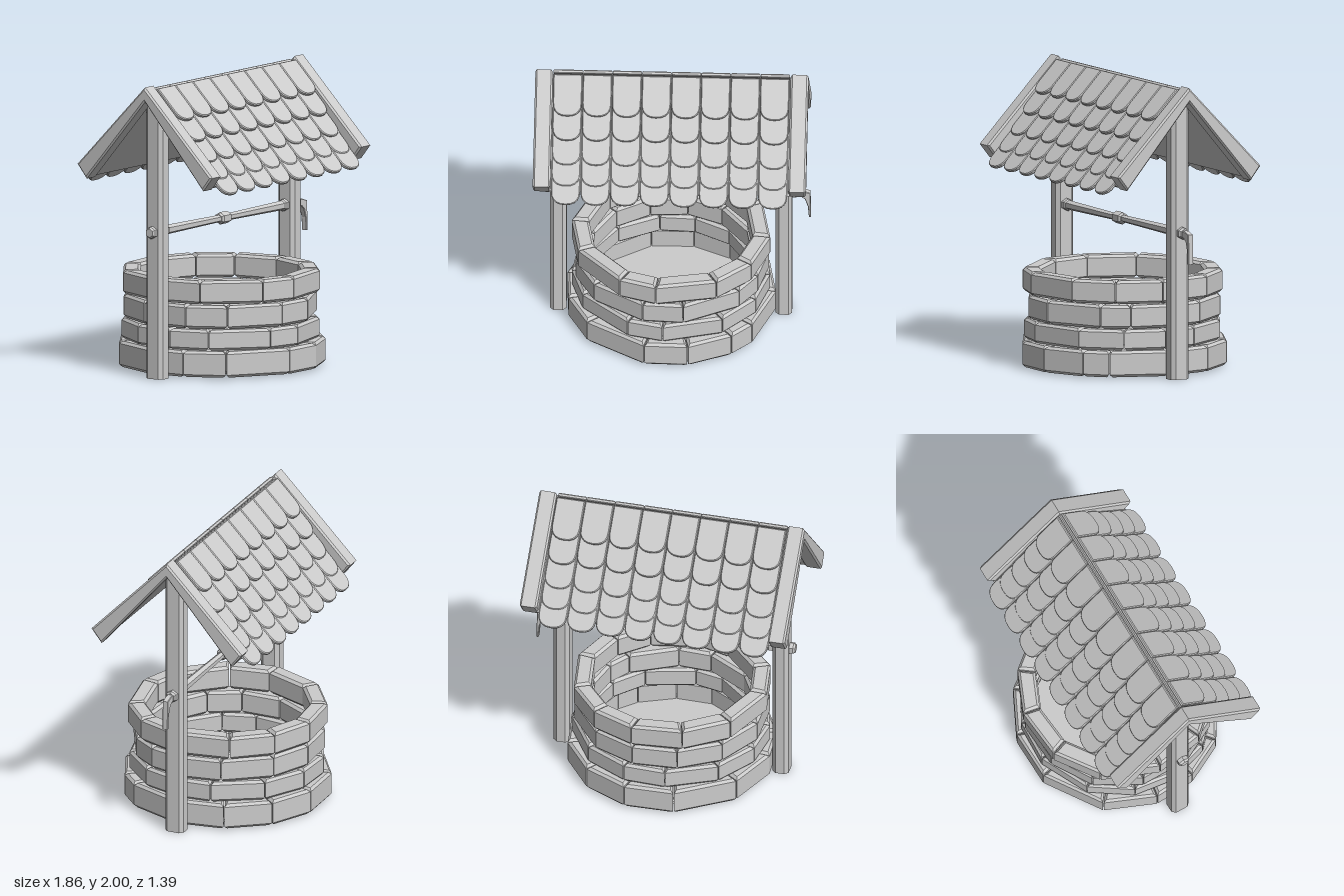
import * as THREE from 'three';

const stone = new THREE.MeshStandardMaterial({ color: 0xcccccc });
stone.name = 'light grey';

const RIDGE_Z = 0.026; // the roof, posts and axle share this centre plane

function faceted(geometry) {
  const g = geometry.index ? geometry.toNonIndexed() : geometry;
  g.computeVertexNormals();
  return g;
}

function addMesh(parent, name, geometry) {
  const mesh = new THREE.Mesh(faceted(geometry), stone);
  mesh.name = name;
  parent.add(mesh);
  return mesh;
}

// Extruded outline with chamfered edges that stay inside the given size
function slab(points, depth, bevel) {
  const shape = new THREE.Shape(points.map(([x, y]) => new THREE.Vector2(x, y)));
  const g = new THREE.ExtrudeGeometry(shape, {
    depth: depth - 2 * bevel, bevelEnabled: bevel > 0, bevelThickness: bevel,
    bevelSize: bevel, bevelOffset: -bevel, bevelSegments: 1, curveSegments: 1,
  });
  return g.translate(0, 0, bevel);
}

// Stone courses: bottom, top, outer radius, joint angles in degrees from the front
const COURSES = [
  [0.012, 0.19, 0.71, [-51, -13, 11, 37, 52, 85, 113, 140, 167, 195, 232, 262, 285]],
  [0.188, 0.33, 0.67, [-61, -24, -3, 33, 60, 85, 105, 137, 165, 190, 222, 250, 275]],
  [0.335, 0.495, 0.66, [-50, -15, 9, 46, 64, 88, 111, 143, 170, 197, 225, 255, 285]],
  [0.505, 0.665, 0.675, [-66, -29, -7, 29, 55, 83, 116, 143, 170, 200, 230, 265]],
];

function buildWall() {
  const wall = new THREE.Group();
  wall.name = 'stoneWall';
  wall.position.x = -0.015;
  COURSES.forEach(([y0, y1, radius, joints]) => {
    joints.forEach((start, i) => {
      const end = i + 1 < joints.length ? joints[i + 1] : joints[0] + 360;
      const a = THREE.MathUtils.degToRad(start + 0.3);
      const b = THREE.MathUtils.degToRad(end - 0.3);
      const at = (r, t) => [r * Math.sin(t), -r * Math.cos(t)];
      const inner = radius - 0.12;
      const g = slab([at(radius, a), at(radius, b), at(inner, b), at(inner, a)], y1 - y0, 0.018);
      addMesh(wall, 'stoneBlock', g.rotateX(-Math.PI / 2).translate(0, y0, 0));
    });
  });
  addMesh(wall, 'wellFloor', new THREE.CylinderGeometry(0.62, 0.62, 0.02, 24).translate(0, 0.035, 0));
  return wall;
}

function buildPost(x) {
  const w = 0.055, d = 0.068, c = 0.024;
  const outline = [
    [-w, -d + c], [-w + c, -d], [w - c, -d], [w, -d + c],
    [w, d - c], [w - c, d], [-w + c, d], [-w, d - c],
  ];
  const post = new THREE.Group();
  post.name = 'post';
  addMesh(post, 'postBeam', slab(outline, 1.86, 0).rotateX(-Math.PI / 2));
  post.position.set(x, 0, RIDGE_Z);
  return post;
}

// Inverted-V profile along x, from half outlines given as [distance from ridge, height]
function chevron(top, bottom, ridgeTop, ridgeBottom, x0, x1, bevel) {
  const outline = [
    [0, ridgeTop], top, bottom, [0, ridgeBottom],
    [-bottom[0], bottom[1]], [-top[0], top[1]],
  ];
  const g = slab(outline, x1 - x0, bevel);
  return g.rotateY(Math.PI / 2).translate(x0, 0, RIDGE_Z);
}

function shingleGeometry(width, length, thickness) {
  const half = width / 2, drop = 0.09, outline = [[half, length], [-half, length]];
  for (let i = 0; i <= 10; i++) {
    const t = Math.PI * (1 + i / 10);
    const c = Math.cos(t), s = Math.sin(t);
    outline.push([
      half * Math.sign(c) * Math.pow(Math.abs(c), 0.85),
      drop - drop * Math.pow(Math.abs(s), 0.85),
    ]);
  }
  return slab(outline, thickness, 0.006).translate(0, 0, -thickness);
}

function buildRoof() {
  const roof = new THREE.Group();
  roof.name = 'roof';
  [[-0.93, -0.812], [0.792, 0.912]].forEach(([x0, x1]) => {
    addMesh(roof, 'rafter', chevron([0.56, 1.43], [0.484, 1.335], 2, 1.9, x0, x1, 0.012));
  });
  addMesh(roof, 'roofPanel', chevron([0.515, 1.362], [0.49, 1.345], 1.965, 1.905, -0.82, 0.8, 0));

  // Overlapping scalloped shingles: lower tip of each row as [distance, height]
  const rows = [[0.225, 1.78], [0.32, 1.645], [0.415, 1.51], [0.505, 1.4], [0.588, 1.305]];
  const tilt = THREE.MathUtils.degToRad(45.5);
  const pitch = 0.1995;
  const shingle = faceted(shingleGeometry(pitch - 0.003, 0.285, 0.026));
  [0, Math.PI].forEach((turn) => {
    const side = new THREE.Group();
    side.name = turn ? 'backShingles' : 'frontShingles';
    side.position.set(-0.011, 0, RIDGE_Z);
    side.rotation.y = turn;
    rows.forEach(([d, y]) => {
      for (let i = 0; i < 8; i++) {
        const mesh = new THREE.Mesh(shingle, stone);
        mesh.name = 'shingle';
        mesh.position.set((i - 3.5) * pitch, y, d);
        mesh.rotation.x = tilt - Math.PI / 2;
        side.add(mesh);
      }
    });
    roof.add(side);
  });
  return roof;
}

// Six-sided turned piece along x, profile given as [x, radius]
function turned(profile) {
  const pts = profile.map(([x, r]) => new THREE.Vector2(r, x));
  return new THREE.LatheGeometry(pts, 6, Math.PI / 6)
    .rotateZ(-Math.PI / 2).translate(0, 1, RIDGE_Z);
}

function buildWinch() {
  const winch = new THREE.Group();
  winch.name = 'winch';
  addMesh(winch, 'axle', turned([
    [-0.85, 0], [-0.85, 0.034], [-0.68, 0.033], [-0.015, 0.024], [0.65, 0.033], [0.82, 0.034], [0.82, 0],
  ]));
  [[-0.87, -0.815], [-0.735, -0.675], [-0.07, 0.04], [0.65, 0.71], [0.79, 0.842]].forEach(([a, b]) => {
    addMesh(winch, 'collar', turned([
      [a, 0], [a, 0.03], [a + 0.014, 0.042], [b - 0.014, 0.042], [b, 0.03], [b, 0],
    ]));
  });
  const crank = [
    [0.82, 1.02], [0.87, 1.02], [0.925, 1.003], [0.929, 0.8], [0.915, 0.8],
    [0.908, 0.89], [0.888, 0.95], [0.86, 0.972], [0.82, 0.975],
  ];
  addMesh(winch, 'crankHandle', slab(crank, 0.04, 0.004).translate(0, 0, RIDGE_Z - 0.02));
  return winch;
}

export function createModel() {
  const model = new THREE.Group();
  model.name = 'wishingWell';
  model.add(buildWall(), buildPost(-0.775), buildPost(0.747), buildRoof(), buildWinch());
  return model;
}
